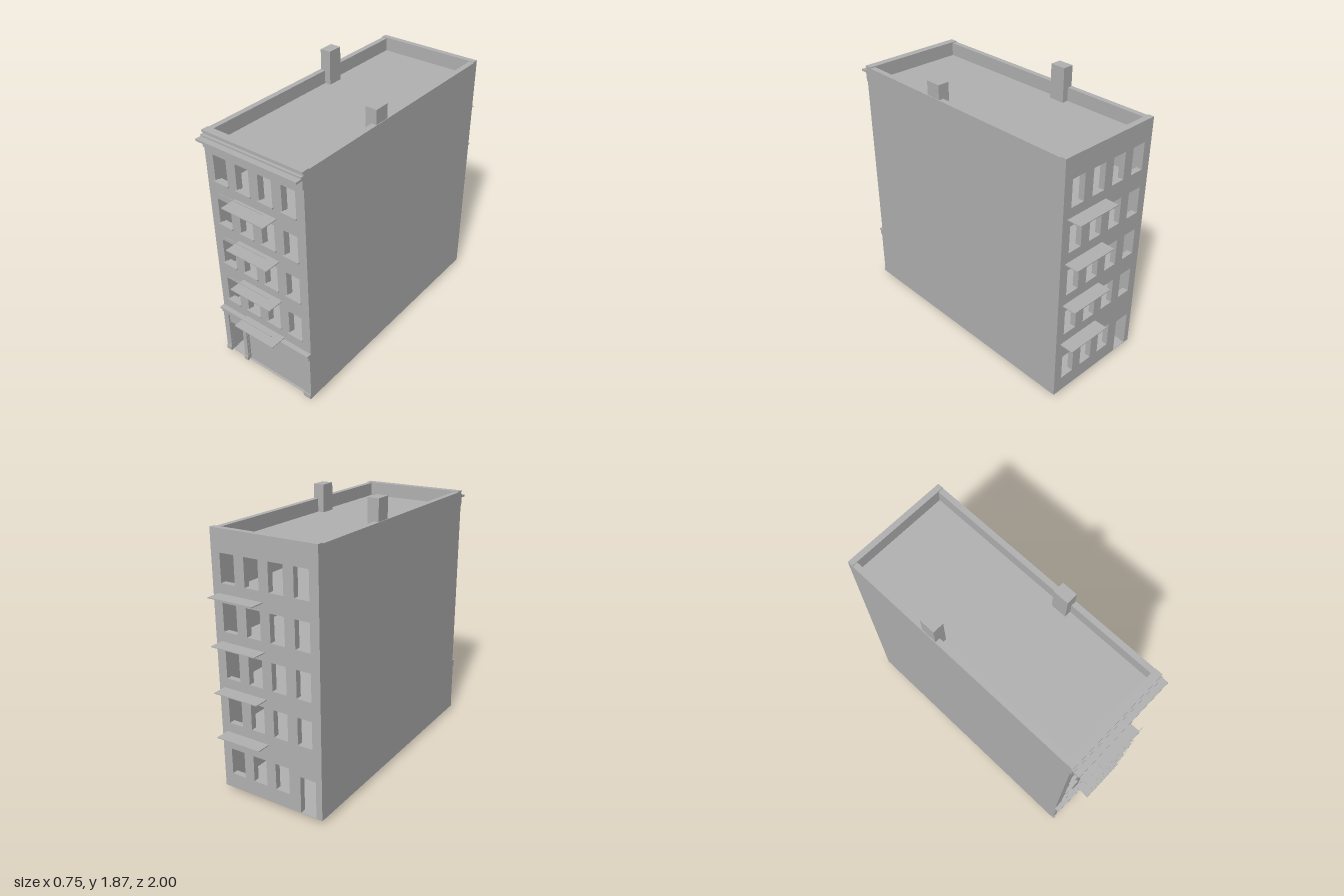
import * as THREE from 'three';

export function createModel() {
  const group = new THREE.Group();
  const stone = new THREE.MeshStandardMaterial({ color: 0xb2b2b2 });
  stone.name = 'grey stone';

  const add = (name, geometry) => {
    const mesh = new THREE.Mesh(geometry, stone);
    mesh.name = name;
    group.add(mesh);
    return mesh;
  };
  // Box given by its two limits on each axis
  const box = (name, x0, x1, y0, y1, z0, z1) =>
    add(name, new THREE.BoxGeometry(x1 - x0, y1 - y0, z1 - z0)
      .translate((x0 + x1) / 2, (y0 + y1) / 2, (z0 + z1) / 2));
  const rect = (Type, x0, x1, y0, y1) => {
    const p = new Type();
    p.moveTo(x0, y0);
    p.lineTo(x1, y0);
    p.lineTo(x1, y1);
    p.lineTo(x0, y1);
    p.closePath();
    return p;
  };

  const X0 = -0.378, X1 = 0.374;           // outer side faces
  const IX0 = -0.34, IX1 = 0.336;          // inner side faces
  const ZB = -0.905, ZF = 0.887;           // back and front faces
  const IZB = -0.865, IZF = 0.842;         // inner back and front faces
  const TOP = 1.73, FLOOR = 0.03;
  const columns = [[-0.315, -0.212], [-0.14, -0.037], [0.033, 0.135], [0.207, 0.31]];
  const storeys = [0, 1, 2, 3].map((i) => 0.43 + i * 0.304);   // floor levels
  const door = [-0.335, -0.222, FLOOR + 0.003, 0.285];

  // Front and back walls with openings
  const wall = (name, z, depth, extraHoles) => {
    const shape = rect(THREE.Shape, X0, X1, FLOOR, TOP);
    const holes = [door, ...extraHoles];
    for (const y of storeys) {
      for (const [a, b] of columns) holes.push([a, b, y + 0.068, y + 0.25]);
    }
    shape.holes = holes.map((h) => rect(THREE.Path, ...h));
    add(name, new THREE.ExtrudeGeometry(shape, { depth, bevelEnabled: false }).translate(0, 0, z));
  };
  wall('frontWall', IZF, ZF - IZF, [[-0.178, 0.315, FLOOR + 0.003, 0.316]]);
  wall('backWall', ZB, IZB - ZB, columns.slice(1).map(([a, b]) => [a, b, 0.135, 0.315]));

  // Side walls, base, floors and roof
  box('rightWall', X0, IX0, FLOOR, TOP, IZB, IZF);
  box('leftWall', IX1, X1, FLOOR, TOP, IZB, IZF);
  box('base', IX0, IX1, 0, FLOOR + 0.003, IZB, IZF);
  for (const y of storeys) box('floor', IX0, IX1, y - 0.01, y, IZB, IZF);
  box('roof', IX0, IX1, 1.63, 1.64, IZB, IZF);
  box('partition', IX0, IX1, FLOOR, 1.63, -0.01, 0.01);

  // Parapet caps and chimneys
  box('frontCap', X0, X1, 1.722, 1.736, IZF, 0.894);
  box('backCap', X0, X1, TOP, 1.736, ZB, IZB);
  box('rightChimney', -0.373, -0.297, 1.64, 1.87, -0.273, -0.165);
  box('leftChimney', 0.292, 0.37, 1.64, 1.827, 0.132, 0.24);

  // Top cornice
  box('frieze', X0, X1, 1.625, 1.685, ZF, 0.897);
  box('corniceLedge', X0, X1, 1.685, 1.699, ZF, 0.945);
  box('corniceStep', X0, X1, 1.699, 1.71, ZF, 0.905);

  // Window sills, balconies and front rails
  for (const y of storeys) {
    for (const [a, b] of columns) box('sill', a - 0.006, b + 0.006, y + 0.064, y + 0.074, ZF - 0.02, 0.899);
    box('frontBalcony', -0.165, 0.16, y - 0.003, y + 0.003, ZF, 1);
    box('frontRail', -0.165, 0.16, y + 0.095, y + 0.1, 0.997, 1);
    box('backBalcony', 0.01, 0.335, y - 0.003, y + 0.003, -1, ZB);
  }

  // Shopfront: panel, pilasters with plinths, lower cornice
  box('shopPanel', -0.178, 0.315, FLOOR + 0.003, 0.316, 0.85, 0.874);
  for (const [a, b] of [[X0, -0.336], [-0.211, -0.18], [0.316, X1]]) {
    box('pilaster', a, b, FLOOR, 0.375, ZF, 0.899);
    box('plinth', a, b, FLOOR, 0.062, ZF, 0.906);
  }
  box('lowerCornice', X0, X1, 0.373, 0.406, ZF, 0.909);
  box('lowerCorniceLedge', X0, X1, 0.406, 0.419, ZF, 0.921);

  return group;
}
